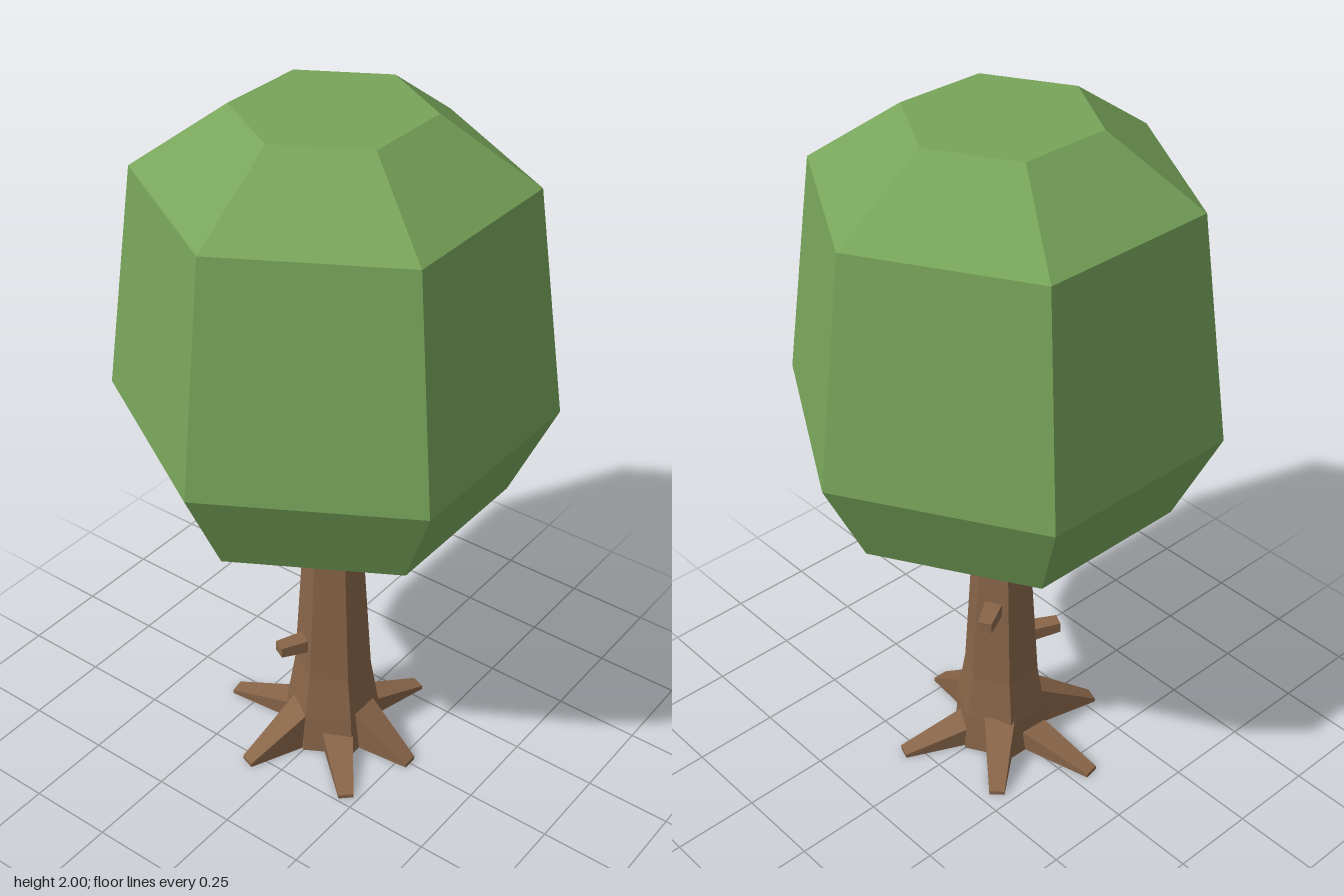
import * as THREE from 'three';

const flatMaterial = (name, color) => {
  const m = new THREE.MeshStandardMaterial({ color, flatShading: true });
  m.name = name;
  return m;
};

// Six-sided solid from [radius, height] rings, corners on the z axis
function hexSolid(rings) {
  const pts = [[0, rings[0][1]], ...rings, [0, rings[rings.length - 1][1]]];
  return new THREE.LatheGeometry(pts.map(([r, y]) => new THREE.Vector2(r, y)), 6);
}

// Box with every corner moved by a rule of its signs
function shapedBox(rule) {
  const g = new THREE.BoxGeometry(2, 2, 2);
  const p = g.attributes.position;
  for (let i = 0; i < p.count; i++) p.setXYZ(i, ...rule(p.getX(i), p.getY(i), p.getZ(i)));
  g.computeVertexNormals();
  return g;
}

export function createModel() {
  const tree = new THREE.Group();
  tree.name = 'tree';
  const leaf = flatMaterial('leafGreen', 0x78a45a);
  const bark = flatMaterial('barkBrown', 0x886549);

  const add = (name, geometry, material, degrees = 0) => {
    const mesh = new THREE.Mesh(geometry, material);
    mesh.name = name;
    mesh.rotation.y = -THREE.MathUtils.degToRad(degrees);
    tree.add(mesh);
    return mesh;
  };

  add('crown', hexSolid([[0.24, 0.82], [0.475, 0.92], [0.6, 1.18], [0.513, 1.82], [0.257, 2]]), leaf);
  add('trunk', hexSolid([[0.145, 0], [0.135, 0.12], [0.112, 0.26], [0.086, 0.68], [0.076, 0.9]]), bark);

  // Roots: direction in degrees from +x towards +z, reach, height at the trunk
  const roots = [
    [0, 0.285, 0.135], [46, 0.315, 0.07], [109, 0.305, 0.135],
    [170, 0.335, 0.07], [225, 0.29, 0.135], [290, 0.315, 0.07],
  ];
  for (const [angle, reach, height] of roots) {
    add('root', shapedBox((x, y, z) => x > 0
      ? [reach, y > 0 ? 0.012 : 0, z * 0.022]
      : [y > 0 ? 0.112 : 0.06, y > 0 ? height : 0, z * 0.045]), bark, angle);
  }

  // Broken branch stubs
  for (const [angle, y, reach] of [[116, 0.36, 0.175], [238, 0.53, 0.172]]) {
    add('branchStub', shapedBox((sx, sy, sz) => sx > 0
      ? [reach, y + 0.002 + sy * 0.016, sz * 0.02]
      : [0.06, y - 0.004 + sy * 0.022, sz * 0.026]), bark, angle);
  }

  // Bark flaps under the crown, one on each side
  for (const angle of [0, 180]) {
    add('barkFlap', shapedBox((x, y, z) => [
      x > 0 ? (y > 0 ? 0.074 : 0.09) : 0.05,
      y > 0 ? 0.88 : 0.68,
      z * (x > 0 ? 0.036 : 0.052),
    ]), bark, angle);
  }
  return tree;
}
